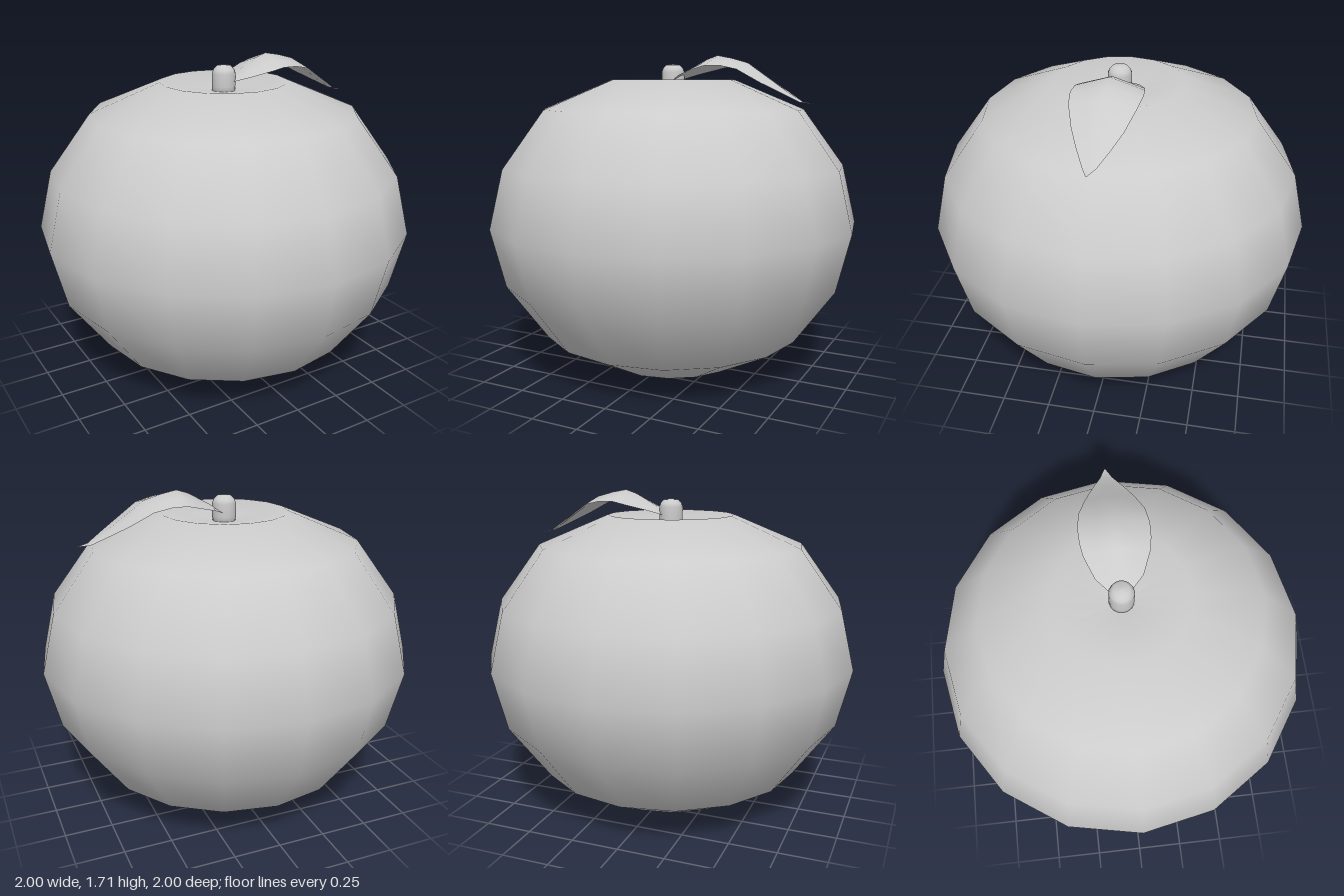
import * as THREE from 'three';

const grey = () => new THREE.MeshStandardMaterial({ color: 0xcccccc });

// Revolve [radius, height] pairs about the y axis
function lathe(name, points, sides) {
  const profile = points.map(([r, y]) => new THREE.Vector2(r, y));
  const mesh = new THREE.Mesh(new THREE.LatheGeometry(profile, sides), grey());
  mesh.name = name;
  return mesh;
}

// Leaf stations along +x: [x, rib height, edge height, half width]
function leaf() {
  const stations = [
    [0.0, 1.57, 1.57, 0.005],
    [0.03, 1.59, 1.585, 0.055],
    [0.09, 1.63, 1.61, 0.115],
    [0.2, 1.69, 1.64, 0.16],
    [0.26, 1.71, 1.655, 0.17],
    [0.34, 1.695, 1.655, 0.173],
    [0.43, 1.67, 1.635, 0.16],
    [0.54, 1.595, 1.57, 0.122],
    [0.63, 1.532, 1.522, 0.08],
    [0.72, 1.476, 1.473, 0.032],
    [0.78, 1.465, 1.465, 0.002],
  ];
  const across = [-1, -0.5, 0, 0.5, 1];
  const positions = [], index = [], n = across.length;
  stations.forEach(([x, rib, edge, w], i) => {
    across.forEach((t, j) => {
      positions.push(x, rib + (edge - rib) * Math.abs(t), t * w);
      if (i && j) {
        const d = i * n + j, c = d - 1, b = d - n, a = b - 1;
        index.push(a, b, c, b, d, c);
      }
    });
  });
  const geo = new THREE.BufferGeometry();
  geo.setAttribute('position', new THREE.Float32BufferAttribute(positions, 3));
  geo.setIndex(index);
  geo.computeVertexNormals();
  const mat = grey();
  mat.side = THREE.DoubleSide;
  const mesh = new THREE.Mesh(geo, mat);
  mesh.name = 'leaf';
  return mesh;
}

export function createModel() {
  const group = new THREE.Group();
  group.name = 'citrusFruit';

  // Squashed low-poly fruit with a dimpled crown
  group.add(lathe('fruit', [
    [0, 0], [0.38, 0.035], [0.71, 0.21], [0.925, 0.51], [1, 0.82],
    [0.925, 1.13], [0.705, 1.43], [0.335, 1.585], [0, 1.525],
  ], 16));

  // Short stalk with a rounded top
  group.add(lathe('stem', [
    [0, 1.5], [0.06, 1.5], [0.062, 1.56], [0.062, 1.625], [0.055, 1.645], [0.038, 1.663], [0, 1.668],
  ], 16));

  // Arched leaf growing from the stalk
  group.add(leaf());
  return group;
}
